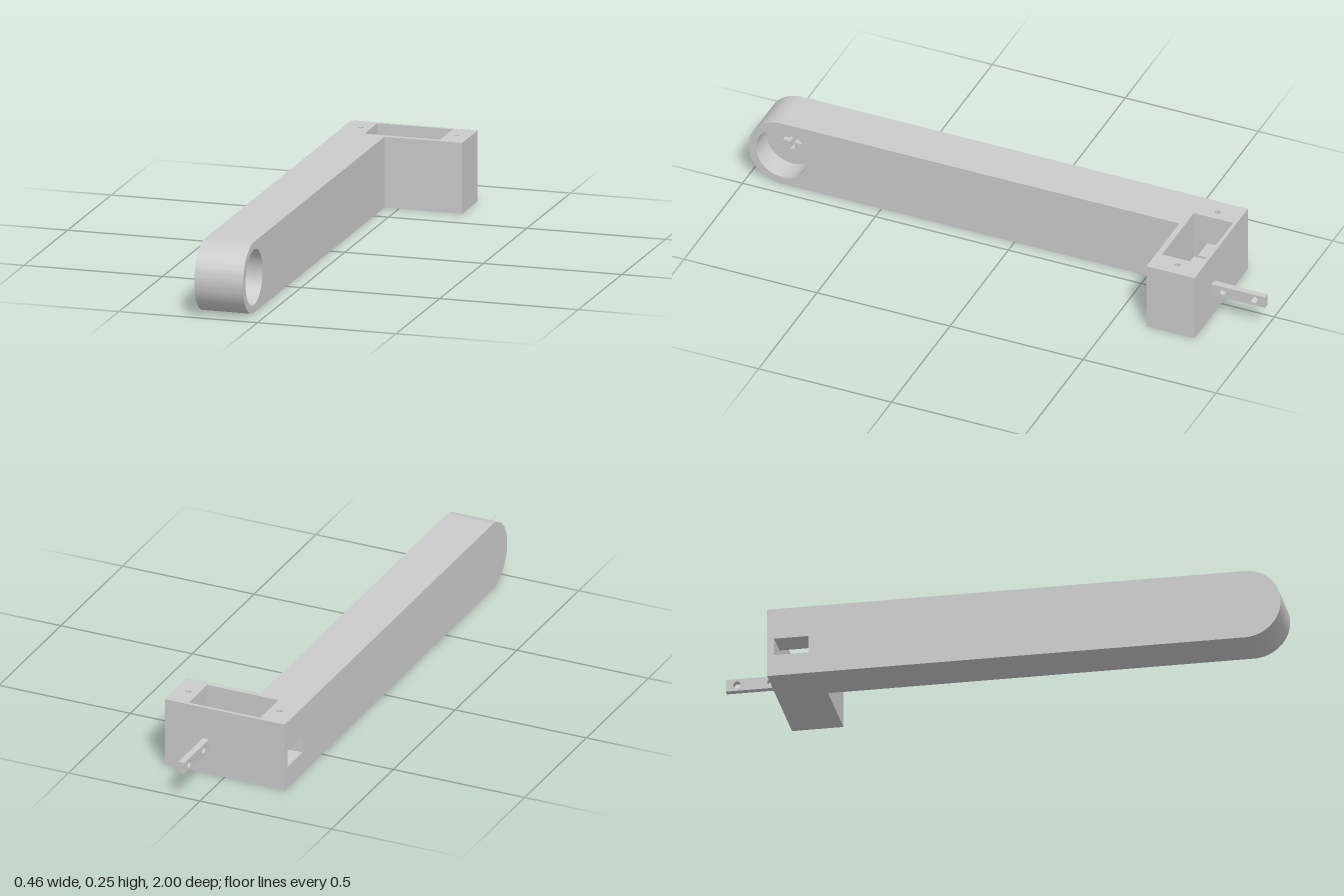
import * as THREE from 'three';
import { mergeGeometries, toCreasedNormals } from 'three/addons/utils/BufferGeometryUtils.js';

const SEG = 24;
const H = 0.252, R = H / 2;               // body height, radius of the round end
const X0 = -0.228, XA = -0.052, X1 = 0.228; // arm from X0 to XA, block from X0 to X1
const ZB = -0.8, ZF = -0.62, ZC = 0.874;  // block back, block front, centre of round end

// Drawing planes: 'x' draws in (-z, y), 'y' draws in (x, -z), 'z' draws in (x, y)
function orient(geo, axis) {
  if (axis === 'x') geo.rotateY(Math.PI / 2);
  if (axis === 'y') geo.rotateX(-Math.PI / 2);
  return geo;
}

const poly = pts => new THREE.Shape(pts.map(p => new THREE.Vector2(...p)));
const rect = (a, b, c, d) => poly([[a, b], [c, b], [c, d], [a, d]]);
const circle = (x, y, r) => new THREE.Shape().absarc(x, y, r, 0, Math.PI * 2);

function withHoles(shape, ...holes) {
  shape.holes.push(...holes);
  return shape;
}

// Flat face at a height along the axis; back = true faces the negative direction
function face(axis, shape, at, back = false) {
  let geo = new THREE.ShapeGeometry(shape, SEG).toNonIndexed();
  geo.deleteAttribute('uv');
  if (back) {
    const p = geo.attributes.position;
    const a = new THREE.Vector3(), b = new THREE.Vector3();
    for (let i = 0; i < p.count; i += 3) {
      a.fromBufferAttribute(p, i);
      b.fromBufferAttribute(p, i + 1);
      p.setXYZ(i, b.x, b.y, b.z);
      p.setXYZ(i + 1, a.x, a.y, a.z);
    }
    geo.computeVertexNormals();
  }
  geo.translate(0, 0, at);
  return orient(geo, axis);
}

// Strip swept along the axis, facing right of the direction of travel
function strip(axis, pts, w0, w1) {
  const v = [];
  for (let i = 0; i + 1 < pts.length; i++) {
    const p = pts[i], q = pts[i + 1];
    v.push(p.x, p.y, w0, q.x, q.y, w0, q.x, q.y, w1);
    v.push(p.x, p.y, w0, q.x, q.y, w1, p.x, p.y, w1);
  }
  const geo = new THREE.BufferGeometry();
  geo.setAttribute('position', new THREE.Float32BufferAttribute(v, 3));
  geo.computeVertexNormals();
  return orient(geo, axis);
}

// Inward-facing wall of a recess
function recess(axis, shape, w0, w1) {
  const pts = shape.getPoints(SEG);
  if (!pts[0].equals(pts[pts.length - 1])) pts.push(pts[0].clone());
  if (!THREE.ShapeUtils.isClockWise(pts)) pts.reverse();
  return strip(axis, pts, w0, w1);
}

// Side outline of the arm, square at the back and round at the front
function sideOutline(zBack) {
  const s = new THREE.Shape();
  s.moveTo(-zBack, 0);
  s.lineTo(-zBack, H);
  s.lineTo(-ZC, H);
  s.absarc(-ZC, R, R, Math.PI / 2, Math.PI * 1.5);
  s.closePath();
  return s;
}

const planOutline = () => poly([
  [X0, -ZC], [XA, -ZC], [XA, -ZF], [X1, -ZF], [X1, -ZB], [X0, -ZB],
]);

function crossShape(cx, cy, l, t) {
  return poly([
    [l, -t], [l, t], [t, t], [t, l], [-t, l], [-t, t],
    [-l, t], [-l, -t], [-t, -t], [-t, -l], [t, -l], [t, -t],
  ].map(([x, y]) => [cx + x, cy + y]));
}

export function createModel() {
  const group = new THREE.Group();
  const material = new THREE.MeshStandardMaterial({ color: 0xcccccc });
  const add = (name, parts) => {
    const mesh = new THREE.Mesh(toCreasedNormals(mergeGeometries(parts), 0.5), material);
    mesh.name = name;
    group.add(mesh);
  };

  // Openings
  const slot = rect(0.655, 0.078, 0.775, 0.14);
  const bore = circle(-ZC, R, 0.098);
  const cross = crossShape(-ZC, R, 0.037, 0.008);
  const px0 = -0.13, px1 = 0.142, pz0 = 0.64, pz1 = 0.788, floorY = 0.07;
  const pocket = rect(px0, pz0, px1, pz1);
  const screws = [-0.168, 0.178].map(x => circle(x, 0.714, 0.01));

  // Outer skin of the arm and the block
  const roundEnd = new THREE.Path().absarc(-ZC, R, R, Math.PI / 2, Math.PI * 1.5);
  add('armAndBlock', [
    face('x', withHoles(sideOutline(ZB), slot), X0, true),
    face('x', withHoles(sideOutline(ZF), bore), XA),
    face('x', rect(-ZF, 0, -ZB, H), X1),
    face('y', withHoles(planOutline(), pocket, ...screws), H),
    face('y', planOutline(), 0, true),
    face('z', rect(XA, 0, X1, H), ZF),
    face('z', rect(X0, 0, X1, H), ZB, true),
    strip('x', roundEnd.getPoints(SEG), X0, XA),
  ]);

  // Blind bore in the round end, with a cross recess in its floor
  const boreFloor = -0.142, crossFloor = -0.17;
  add('endBore', [
    recess('x', bore, boreFloor, XA),
    face('x', withHoles(circle(-ZC, R, 0.098), cross), boreFloor),
    recess('x', cross, crossFloor, boreFloor),
    face('x', cross, crossFloor),
  ]);

  // Pocket in the block and the side slot that opens into it
  const pocketSides = [[px0, pz1], [px1, pz1], [px1, pz0], [px0, pz0]];
  add('pocket', [
    strip('y', pocketSides.map(p => new THREE.Vector2(...p)), floorY, H),
    face('x', withHoles(rect(pz0, floorY, pz1, H), slot), px0),
    face('y', pocket, floorY),
    recess('x', slot, X0, px0),
  ]);

  // Screw holes beside the pocket
  add('screwHoles', screws.flatMap(s => [
    recess('y', s, H - 0.1, H),
    face('y', s, H - 0.1),
  ]));

  // Thin tab on the back with two cross holes
  const tabShape = withHoles(rect(-ZB, 0.09, 1, 0.134),
    ...[0.842, 0.961].map(u => circle(u, 0.112, 0.013)));
  const tab = new THREE.ExtrudeGeometry(tabShape, { depth: 0.023, bevelEnabled: false, curveSegments: 12 });
  tab.translate(0, 0, 0.059);
  add('rearTab', [orient(tab, 'x')]);

  return group;
}
